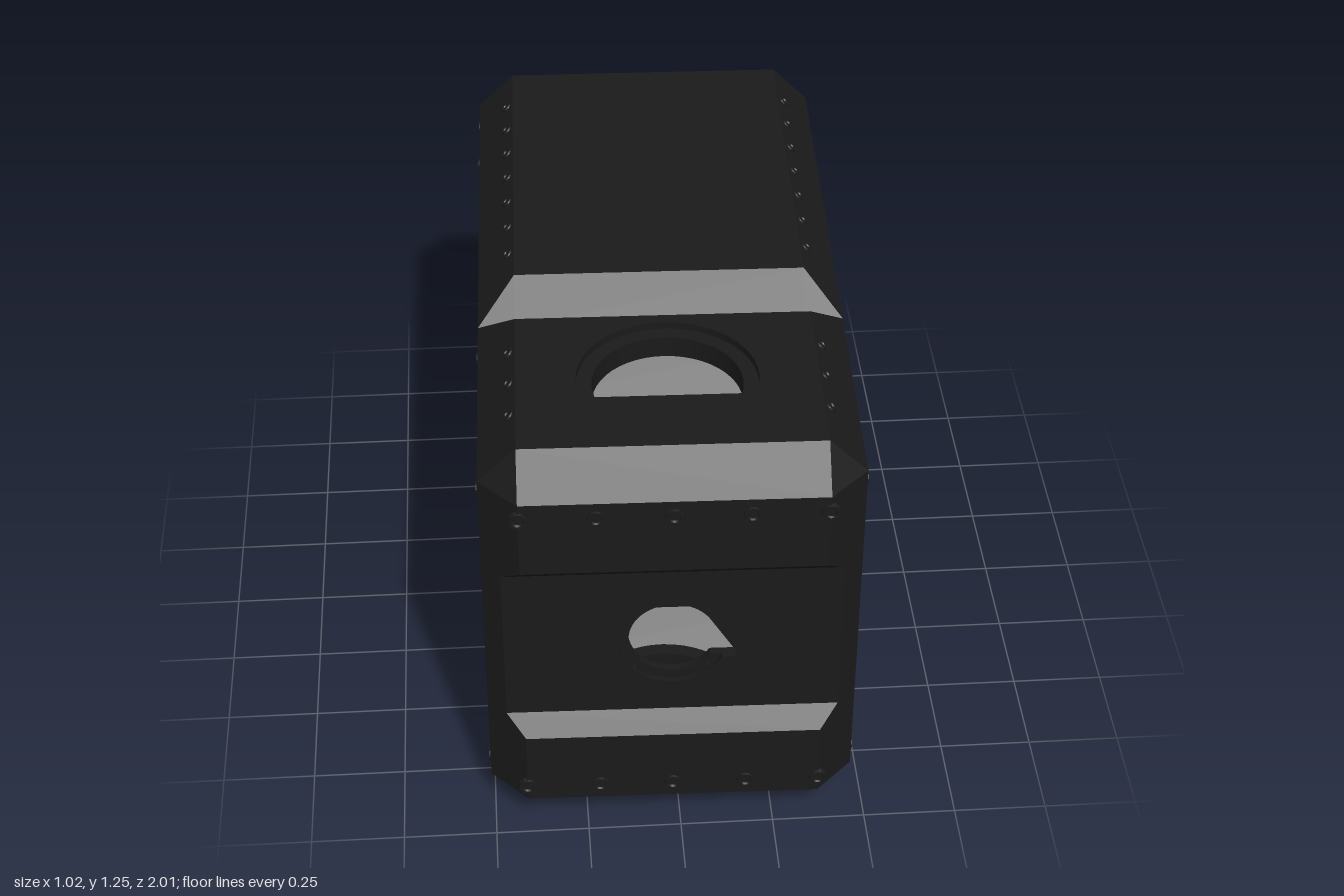
import * as THREE from 'three';
import { ConvexGeometry } from 'three/addons/geometries/ConvexGeometry.js';

const W = 0.49, H = 0.615, C = 0.1, T = 0.035; // half width, half height, chamfer, wall
const w = W - C, h = H - C;
const FRONT = 0.99, SEAM = 0.245, BACK = -0.985;
const SIGNS = [1, -1];
const dark = new THREE.MeshStandardMaterial({ color: 0x1a1a1a });

const poly = pts => new THREE.Shape(pts.map(p => new THREE.Vector2(...p)));
const rect = (x0, y0, x1, y1) => poly([[x0, y0], [x1, y0], [x1, y1], [x0, y1]]);
const disc = (r, x = 0, y = 0) => new THREE.Shape().absarc(x, y, r, 0, Math.PI * 2);

function rounded(x0, y0, x1, y1, r) {
  const s = new THREE.Shape();
  s.absarc(x1 - r, y1 - r, r, 0, Math.PI / 2);
  s.absarc(x0 + r, y1 - r, r, Math.PI / 2, Math.PI);
  s.absarc(x0 + r, y0 + r, r, Math.PI, Math.PI * 1.5);
  s.absarc(x1 - r, y0 + r, r, Math.PI * 1.5, Math.PI * 2);
  s.closePath();
  return s;
}

function withHoles(shape, ...holes) {
  shape.holes.push(...holes);
  return shape;
}

export function createModel() {
  const model = new THREE.Group();
  const body = new THREE.Group();
  body.name = 'housing';
  model.add(body);

  const add = (name, geometry) => {
    const mesh = new THREE.Mesh(geometry, dark);
    mesh.name = name;
    body.add(mesh);
    return mesh;
  };

  // Flat plate lying across one axis, starting at "at" and growing in +axis.
  // Side plates use (-z, y), level plates use (x, -z) as shape coordinates.
  const plate = (name, axis, at, shape, depth = T) => {
    const g = new THREE.ExtrudeGeometry(shape, { depth, bevelEnabled: false, curveSegments: 24 });
    if (axis === 'x') g.rotateY(Math.PI / 2);
    if (axis === 'y') g.rotateX(-Math.PI / 2);
    add(name, g).position[axis] = at;
  };

  // Convex wall piece: outer corners plus the same corners moved inward
  const wall = (name, pts, inset, sx = 1, sy = 1) => {
    const all = [];
    for (const p of pts) {
      all.push(new THREE.Vector3(p[0] * sx, p[1] * sy, p[2]));
      all.push(new THREE.Vector3((p[0] + inset[0]) * sx, (p[1] + inset[1]) * sy, p[2] + inset[2]));
    }
    add(name, new ConvexGeometry(all));
  };

  // Stepped port collar: sunken ring set into a plate opening of radius 0.235
  const collar = (axis, at, u = 0, v = 0) =>
    plate('portCollar', axis, at, withHoles(disc(0.235, u, v), disc(0.195, u, v)), 0.06);

  const screwProfile = [[0, 0.001], [0.012, 0.001], [0.015, 0.006], [0.023, 0.006], [0.026, -0.006]];
  const screwGeo = new THREE.LatheGeometry(screwProfile.map(p => new THREE.Vector2(...p)).reverse(), 16)
    .toNonIndexed();
  screwGeo.computeVertexNormals();
  const up = new THREE.Vector3(0, 1, 0);
  const screw = (pos, normal, size = 1) => {
    const m = add('screw', screwGeo);
    m.position.set(...pos);
    m.scale.setScalar(size);
    m.quaternion.setFromUnitVectors(up, new THREE.Vector3(...normal).normalize());
  };

  // Chamfered edges shared by both sections
  for (const [end, seamTop, dir] of [[FRONT, SEAM + C, 1], [BACK, SEAM - C, -1]]) {
    const shoulder = end - dir * C;
    for (const sy of SIGNS) {
      wall('endChamfer', [[w, h, end], [-w, h, end], [w, H, shoulder], [-w, H, shoulder]], [0, -T, -T * dir], 1, sy);
      wall('seamChamfer', [[w, h, SEAM], [-w, h, SEAM], [w, H, seamTop], [-w, H, seamTop]], [0, -T, T * dir], 1, sy);
      for (const sx of SIGNS) {
        wall('longChamfer', [[w, H, shoulder], [W, h, shoulder], [w, H, seamTop], [W, h, seamTop]], [-T, -T, 0], sx, sy);
        wall('endCorner', [[w, h, end], [W, h, shoulder], [w, H, shoulder]], [-T, -T, -T * dir], sx, sy);
        wall('seamCorner', [[w, H, seamTop], [W, h, seamTop], [W, h, SEAM], [w, h, SEAM]], [-T, -T, 0], sx, sy);
      }
    }
  }

  // Front: raised upper and lower bands around a recessed centre plate
  const R = 0.94, by = 0.29, cy = 0.24, cx = w + 0.05;
  for (const sy of SIGNS) {
    plate('frontBand', 'z', FRONT - T, sy > 0 ? rect(-w, by, w, h) : rect(-w, -h, w, -by));
    wall('frontStep', [[w, by, FRONT], [-w, by, FRONT], [cx, cy, R], [-cx, cy, R]], [0, 0, -T], 1, sy);
    for (const sx of SIGNS)
      wall('frontCornerPost', [[w, h, FRONT], [W, h, FRONT - C], [W, cy, FRONT - C], [cx, cy, R], [w, by, FRONT]], [-T, 0, -T], sx, sy);
    for (let i = -2; i <= 2; i++) screw([i * 0.195, sy * 0.467, FRONT], [0, 0, 1]);
  }
  for (const sx of SIGNS)
    wall('frontCornerPost', [[W, cy, FRONT - C], [cx, cy, R], [W, -cy, FRONT - C], [cx, -cy, R]], [-T, 0, -T], sx);

  // Keyed opening with four small bolt holes and a sunken rim
  const key = new THREE.Path();
  const a = Math.asin(0.06 / 0.115);
  key.moveTo(0.17, 0.06);
  key.absarc(0, 0, 0.115, a, Math.PI * 2 - a);
  key.lineTo(0.17, -0.06);
  key.closePath();
  const boltHoles = [];
  for (const sx of SIGNS) for (const sy of SIGNS) boltHoles.push(disc(0.008, sx * 0.097, sy * 0.097));
  plate('frontCentreInner', 'z', R - T, withHoles(rect(-cx, -cy, cx, cy), key, ...boltHoles), T - 0.015);
  const rim = new THREE.Path();
  const b = Math.asin(0.06 / 0.143);
  rim.moveTo(0.17, 0.06);
  rim.absarc(0, 0, 0.143, b, Math.PI * 2 - b);
  rim.lineTo(0.17, -0.06);
  rim.closePath();
  plate('frontCentrePlate', 'z', R - 0.015, withHoles(rect(-cx, -cy, cx, cy), rim), 0.015);

  // Top and bottom plates, the front ones with ports
  const portZ = 0.6125;
  for (const sy of SIGNS) {
    const at = sy > 0 ? H - T : -H;
    plate('frontLevelPlate', 'y', at, withHoles(rect(-w, -(FRONT - C), w, -(SEAM + C)), disc(0.235, 0, -portZ)));
    collar('y', sy > 0 ? H - 0.08 : -H + 0.02, 0, -portZ);
    plate('rearLevelPlate', 'y', at, rect(-w, -(SEAM - C), w, -(BACK + C)));
    // Screw rows along the long chamfers
    for (const sx of SIGNS)
      for (const z of [0.73, 0.6, 0.47, 0.02, -0.11, -0.235, -0.36, -0.485, -0.61, -0.735])
        screw([sx * (w + 0.018), sy * (H - 0.018), z], [sx, sy, 0], 0.7);
  }

  // Front side walls: seam notch and a sunken rounded panel
  for (const sx of SIGNS) {
    const at = d => (sx > 0 ? W - d : -W);
    const side = poly([[-FRONT + C, -h], [-SEAM, -h], [-SEAM, -0.14], [-SEAM - 0.05, -0.09],
      [-SEAM - 0.05, 0.11], [-SEAM, 0.16], [-SEAM, h], [-FRONT + C, h]]);
    plate('frontSideWall', 'x', at(T), withHoles(side, rounded(-0.82, -0.405, -0.345, 0.41, 0.05)));
    plate('sidePanel', 'x', sx > 0 ? W - T : -W + 0.012, rounded(-0.82, -0.405, -0.345, 0.41, 0.05), T - 0.012);
    plate('sidePanelFace', 'x', sx > 0 ? W - 0.012 : -W + 0.006, rounded(-0.805, -0.39, -0.36, 0.395, 0.04), 0.006);

    // Rear side post with a forward tab, and rear vertical chamfers
    plate('rearSidePost', 'x', at(T), poly([[0.58, -h], [-BACK - C, -h], [-BACK - C, h], [0.58, h],
      [0.58, 0.25], [0.535, 0.25], [0.535, -0.24], [0.58, -0.24]]));
    wall('rearCornerPost', [[w, h, BACK], [W, h, BACK + C], [w, -h, BACK], [W, -h, BACK + C]], [-T, 0, T], sx);
    for (const sy of SIGNS)
      for (const z of [0.86, 0.32, -0.63, -0.83]) screw([sx * W, sy * 0.47, z], [sx, 0, 0], 0.75);
  }

  // Removable wall fitted on the right side only; the left side stays open
  plate('rearSideDoor', 'x', -W, withHoles(poly([[-SEAM + 0.005, -h], [0.574, -h], [0.574, -0.246], [0.529, -0.246],
    [0.529, 0.256], [0.574, 0.256], [0.574, h], [-SEAM + 0.005, h]]),
  disc(0.008, -0.195, 0.47), disc(0.008, -0.195, -0.47)));

  // Back wall with port
  plate('backWall', 'z', BACK, withHoles(rect(-w, -h, w, h), disc(0.235)));
  collar('z', BACK + 0.02);
  for (const sx of SIGNS) for (const sy of SIGNS) screw([sx * 0.36, sy * 0.47, BACK], [0, 0, -1], 0.75);

  // Frame joining the two sections
  const frameHole = rect(-W + 0.07, -h + 0.04, W - 0.07, h - 0.04);
  plate('seamFrame', 'z', SEAM - 0.02, withHoles(rect(-w, -h, w, h), rect(-w + 0.02, -h + 0.04, w - 0.02, h - 0.04)), 0.04);
  for (const sy of SIGNS)
    plate('seamLedge', 'z', SEAM - 0.02, sy > 0 ? rect(-W + 0.01, h - 0.04, W - 0.01, h) : rect(-W + 0.01, -h, W - 0.01, -h + 0.04), 0.04);

  // The housing sits very slightly turned and pitched
  body.rotation.set(0.014, -0.021, 0);
  body.position.set(0, 0.628, 0);
  return model;
}
